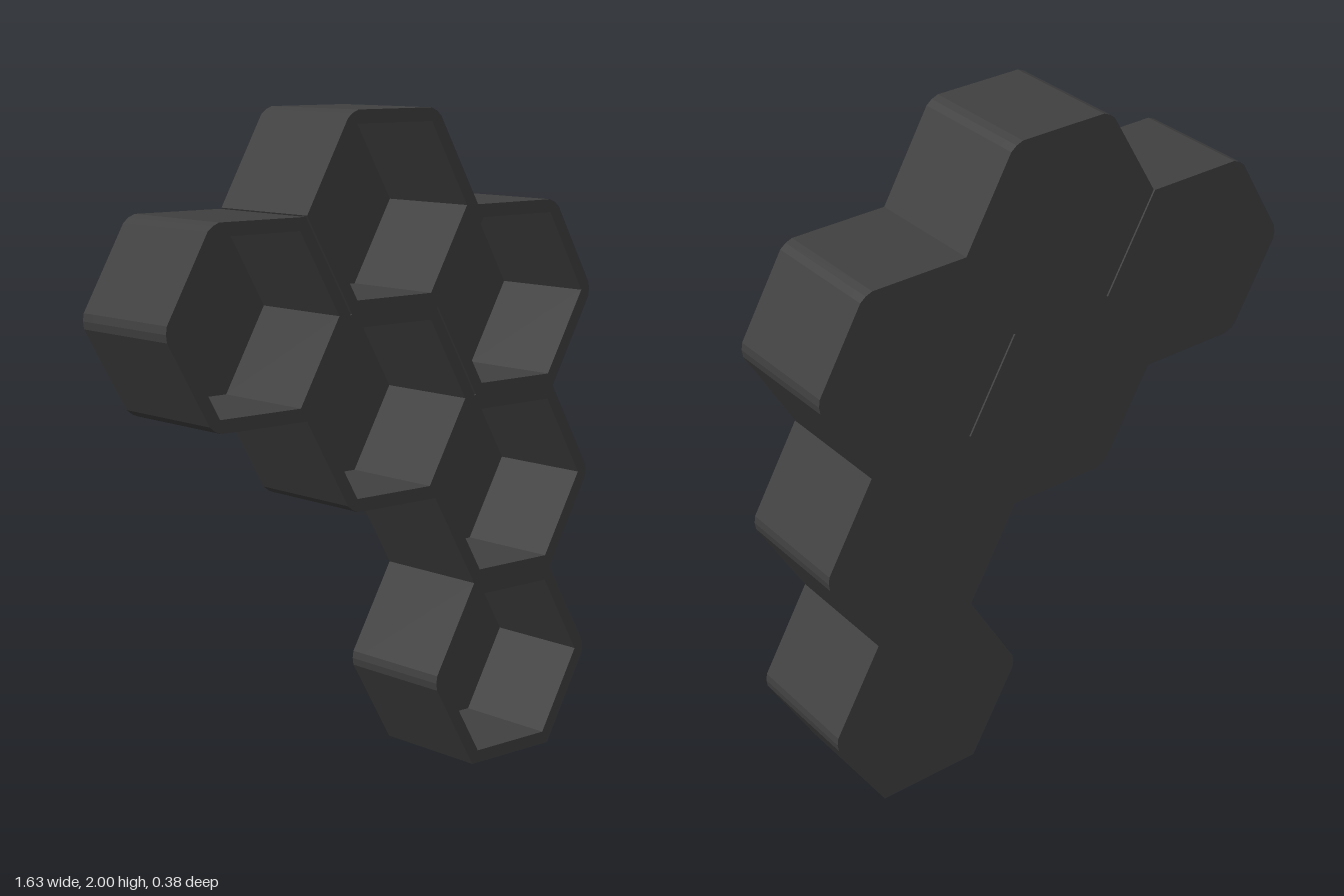
import * as THREE from 'three';

const A = 2 / 7;        // cell apothem
const R = 0.33;         // cell corner radius
const DEPTH = 0.38;     // full thickness
const FLOOR = 0.045;    // back plate thickness
const RIM = 0.285;      // corner radius of each pocket
const GAP = 0.003;      // half width of the slits between unjoined cells
const CLIP = 0.026;     // length cut from exposed corners

// Cell centres as [column, row]
const CELLS = [[0, 6], [-1, 5], [1, 5], [0, 4], [1, 3], [1, 1]];

const pt = (i, j) => new THREE.Vector2(i * R / 2, j * A);
const slitSide = new THREE.Vector2(Math.sqrt(3) / 2, 0.5).multiplyScalar(GAP);

// Blunt every convex corner that is flagged
function bluntCorners(corners) {
  const out = [];
  corners.forEach(([p, clip], k) => {
    if (!clip) return out.push(p);
    const prev = corners[(k + corners.length - 1) % corners.length][0];
    const next = corners[(k + 1) % corners.length][0];
    const toward = (q, d) => p.clone().add(q.clone().sub(p).setLength(d));
    const a = toward(prev, CLIP), b = toward(next, CLIP);
    const mid = a.clone().add(b).multiplyScalar(0.5).lerp(p, 0.25);
    out.push(a, mid, b);
  });
  return out;
}

// Joined outline of all cells, with the open slit beside the top cell
function outline() {
  const c = (i, j, clip = false) => [pt(i, j), clip];
  return bluntCorners([
    c(2, 0), c(4, 0), c(5, 1, true), c(4, 2), c(5, 3, true), c(4, 4),
    c(5, 5, true), c(4, 6, true), c(2, 6), c(1, 7, true), c(-1, 7, true),
    [pt(-2, 6).add(slitSide), false],
    [pt(-1, 5).add(slitSide), false],
    [pt(-1, 5).sub(slitSide), false],
    [pt(-2, 6).sub(slitSide), false],
    c(-4, 6, true), c(-5, 5, true), c(-4, 4, true), c(-2, 4),
    c(-1, 3, true), c(1, 3), c(2, 2), c(1, 1, true)
  ]);
}

// Closed slit between the middle cell and its right neighbour
function slitHole() {
  const top = pt(1, 5).lerp(pt(2, 4), 0.02), low = pt(1, 5).lerp(pt(2, 4), 0.98);
  return new THREE.Path([
    top.clone().add(slitSide), low.clone().add(slitSide),
    low.clone().sub(slitSide), top.clone().sub(slitSide)
  ]);
}

// Hexagonal pocket opening
function pocketHole([col, row]) {
  const centre = pt(col * 3, row);
  const pts = [];
  for (let k = 0; k < 6; k++) {
    const t = -k * Math.PI / 3;
    pts.push(new THREE.Vector2(centre.x + RIM * Math.cos(t), centre.y + RIM * Math.sin(t)));
  }
  return new THREE.Path(pts);
}

function slab(name, holes, z, depth, material) {
  const shape = new THREE.Shape(outline());
  shape.holes.push(...holes);
  const mesh = new THREE.Mesh(
    new THREE.ExtrudeGeometry(shape, { depth, bevelEnabled: false }), material);
  mesh.name = name;
  mesh.position.z = z;
  return mesh;
}

export function createModel() {
  const group = new THREE.Group();
  group.name = 'honeycombShelf';
  const material = new THREE.MeshStandardMaterial({ color: 0x404040 });

  // Solid back closing every pocket
  group.add(slab('backPlate', [slitHole()], -DEPTH / 2, FLOOR, material));

  // Cell walls around the open-fronted pockets
  group.add(slab('cellWalls', [slitHole(), ...CELLS.map(pocketHole)],
    -DEPTH / 2 + FLOOR, DEPTH - FLOOR, material));

  return group;
}
